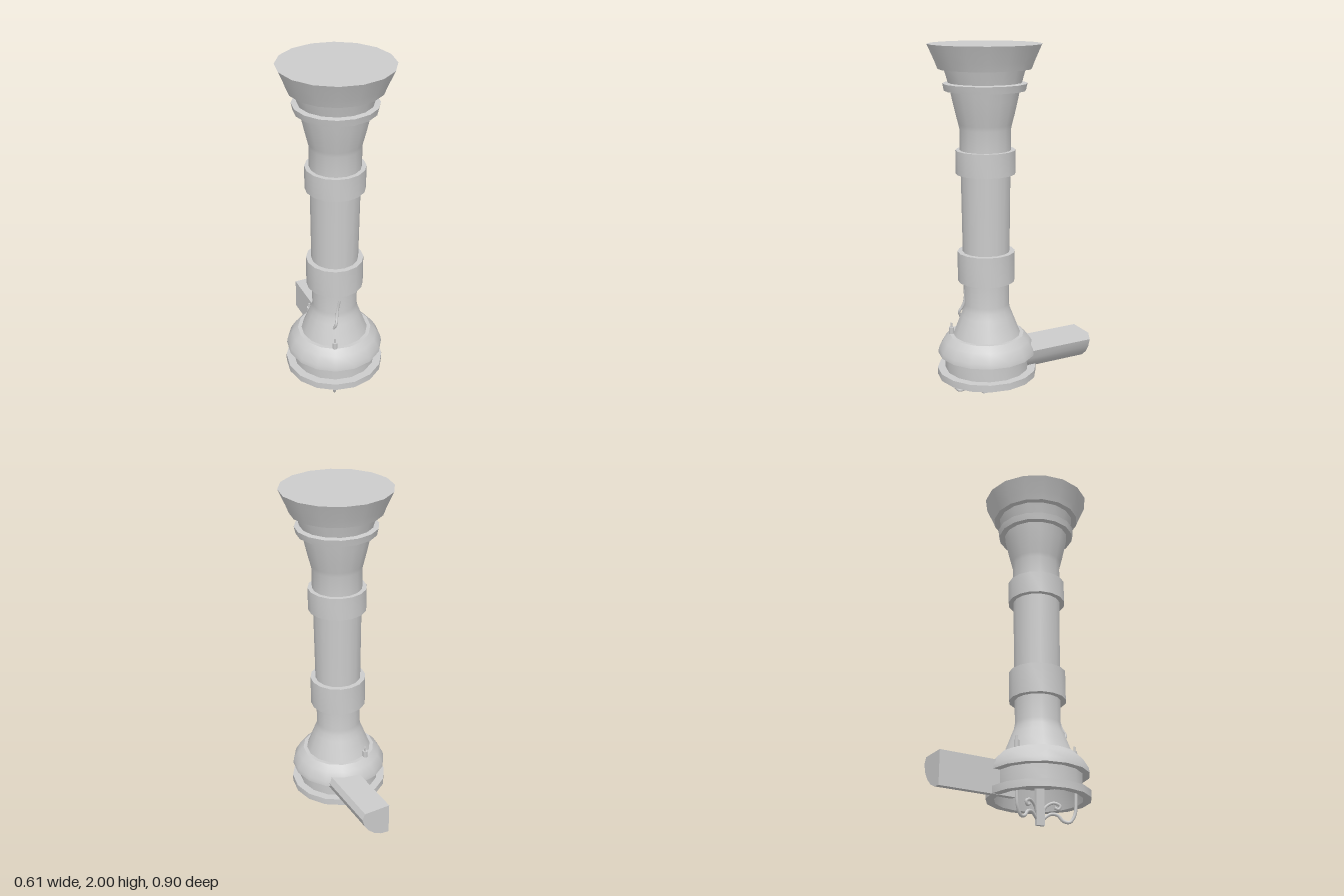
import * as THREE from 'three';
import { toCreasedNormals } from 'three/addons/utils/BufferGeometryUtils.js';

const SIDES = 16;
const AXIS_Z = 0.14; // the column stands forward of the model's centre

export function createModel() {
  const model = new THREE.Group();
  const grey = new THREE.MeshStandardMaterial({ color: 0xcccccc });

  const add = (name, geometry, parent = model) => {
    const mesh = new THREE.Mesh(geometry, grey);
    mesh.name = name;
    parent.add(mesh);
    return mesh;
  };
  const lathe = (profile) => toCreasedNormals(
    new THREE.LatheGeometry(profile.map(([r, y]) => new THREE.Vector2(r, y)), SIDES), 0.55);
  const tube = (points, radius, segments = 32) => new THREE.TubeGeometry(
    new THREE.CatmullRomCurve3(points), segments, radius, 8);

  const column = new THREE.Group();
  column.name = 'column';
  column.position.z = AXIS_Z;
  model.add(column);

  // Base with a hollow underside, foot ring, recessed neck and rounded shoulder
  add('base', lathe([
    [0, 0.26], [0.21, 0.25], [0.238, 0.135], [0.283, 0.135], [0.283, 0.175],
    [0.238, 0.175], [0.238, 0.268], [0.278, 0.268], [0.274, 0.295],
    [0.245, 0.345], [0.212, 0.378], [0, 0.378],
  ]), column);

  // Shaft flaring at foot and head
  add('shaft', lathe([
    [0.192, 0.375], [0.165, 0.445], [0.146, 0.495], [0.132, 0.53], [0.127, 0.56],
    [0.129, 0.70], [0.136, 1.30], [0.14, 1.43], [0.14, 1.55], [0.146, 1.575],
    [0.16, 1.63], [0.176, 1.70], [0.188, 1.757],
  ]), column);

  // Sleeves around the shaft
  for (const [name, bottom, top, r] of [['lowerBand', 0.695, 0.865, 0.16], ['upperBand', 1.305, 1.435, 0.164]]) {
    add(name, lathe([[0.125, bottom], [r, bottom], [r, top], [0.125, top]]), column);
  }

  // Capital: collar ring, throat and flared top
  add('collar', lathe([[0.18, 1.755], [0.22, 1.755], [0.228, 1.793], [0.195, 1.798]]), column);
  add('throat', lathe([[0.197, 1.79], [0.208, 1.83], [0.221, 1.875]]), column);
  add('flaredTop', lathe([[0.2, 1.87], [0.252, 1.87], [0.267, 1.91], [0.307, 2], [0, 2]]), column);

  // Side spout: flat top and inner face, rounded outer underside
  const section = new THREE.Shape([
    [0, 0.133], [0.05, 0.138], [0.095, 0.16], [0.134, 0.195], [0.16, 0.235],
    [0.175, 0.285], [0.157, 0.32], [0, 0.32],
  ].map(([x, y]) => new THREE.Vector2(x, y)));
  const spout = new THREE.ExtrudeGeometry(section, { depth: 0.45, bevelEnabled: false });
  spout.translate(0, 0, -0.45);
  add('spout', toCreasedNormals(spout, 0.5));

  // Hanging bracket: central plate with two mirrored scrolled arms
  const bracket = new THREE.Group();
  bracket.name = 'bracket';
  column.add(bracket);
  add('bracketPlate', new THREE.BoxGeometry(0.02, 0.26, 0.05).translate(-0.01, 0.13, 0), bracket);
  for (const side of [1, -1]) {
    const along = (r, y) => new THREE.Vector3(-0.4 * r, y, side * 0.92 * r);
    const path = (points) => points.map(([r, y]) => along(r, y));
    add('bracketArm', tube(path([
      [0.2, 0.3], [0.2, 0.13], [0.192, 0.065], [0.165, 0.025], [0.13, 0.03],
      [0.1, 0.06], [0.065, 0.065], [0.02, 0.035],
    ]), 0.009, 48), bracket);
    add('bracketScroll', tube(path([
      [0.015, 0.06], [0.04, 0.105], [0.08, 0.125], [0.115, 0.11], [0.105, 0.092], [0.085, 0.1],
    ]), 0.008), bracket);

    // Bolt and tip above the shoulder, in line with the arm
    const bolt = along(0.2, 0.385);
    add('bolt', new THREE.CylinderGeometry(0.015, 0.015, 0.06, 8).translate(bolt.x, bolt.y, bolt.z), column);
    add('boltTip', new THREE.CylinderGeometry(0.005, 0.006, 0.03, 8).translate(bolt.x, 0.427, bolt.z), column);
  }

  // Thin strand lying against the lower flare
  add('strand', tube([
    [-0.065, 0.47, 0.13], [-0.055, 0.51, 0.145], [-0.045, 0.54, 0.13],
    [-0.035, 0.59, 0.118], [-0.025, 0.65, 0.122],
  ].map((p) => new THREE.Vector3(...p)), 0.008), column);

  return model;
}
